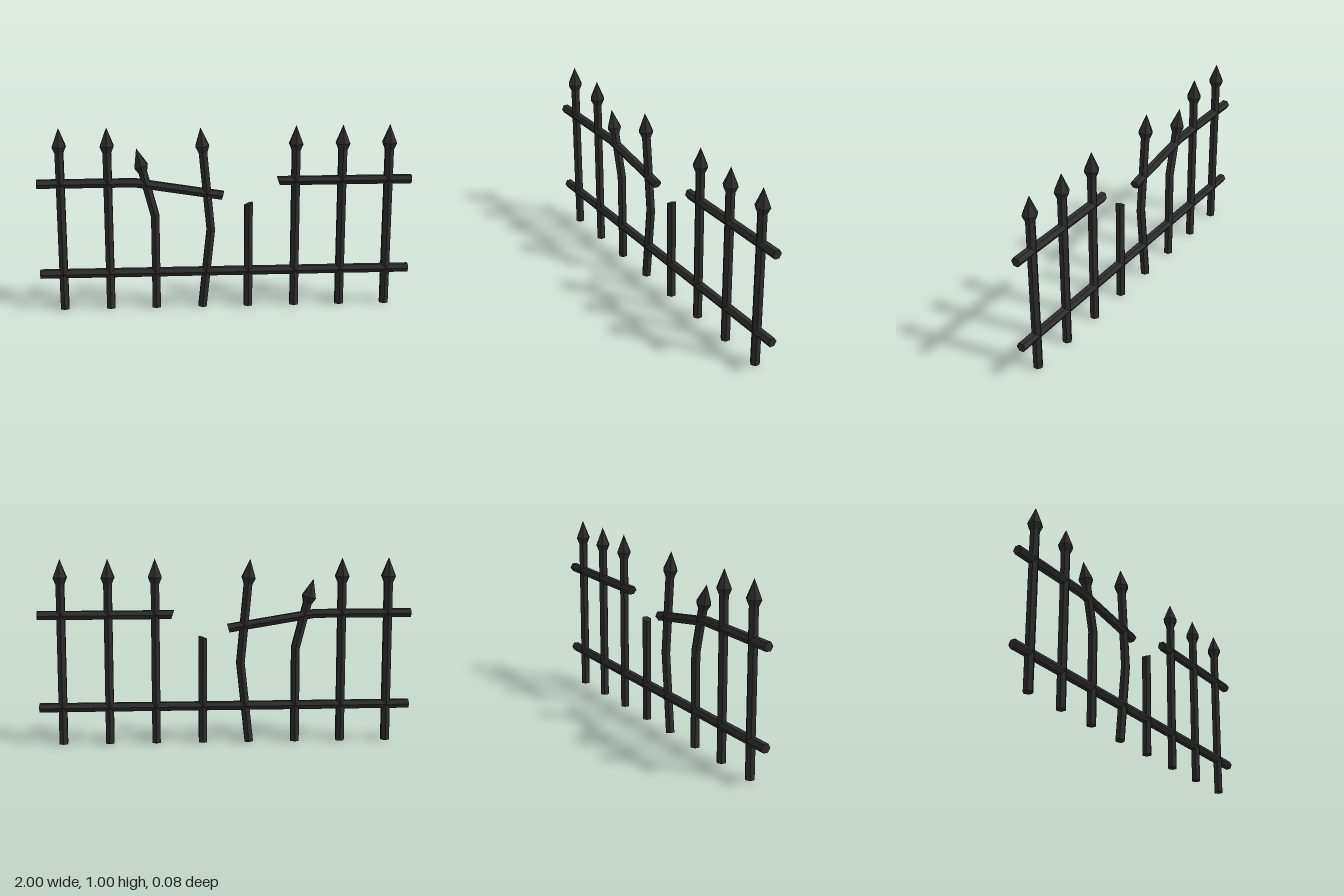
import * as THREE from 'three';

const R = 0.026; // bar radius, hexagonal with corners at front and back
const SIDES = 6;

// Hexagonal bar swept along a path in the xy plane, mitred at bends.
// startCut / endCut slant the end faces along the bar.
function barGeometry(path, startCut = 0, endCut = 0) {
  const pts = path.map(([x, y]) => new THREE.Vector2(x, y));
  const dirs = pts.slice(1).map((p, i) => p.clone().sub(pts[i]).normalize());
  const perp = d => new THREE.Vector2(d.y, -d.x);
  const last = pts.length - 1;
  const pos = [], index = [];
  pts.forEach((p, i) => {
    const a = dirs[Math.max(i - 1, 0)], b = dirs[Math.min(i, last - 1)];
    const side = perp(a).add(perp(b)).divideScalar(1 + a.dot(b));
    if (i === 0) side.addScaledVector(b, startCut);
    if (i === last) side.addScaledVector(a, endCut);
    for (let j = 0; j < SIDES; j++) {
      const t = j / SIDES * Math.PI * 2, s = R * Math.sin(t);
      pos.push(p.x + side.x * s, p.y + side.y * s, R * Math.cos(t));
    }
  });
  for (let i = 0; i < last; i++) {
    for (let j = 0; j < SIDES; j++) {
      const k = (j + 1) % SIDES, lo = i * SIDES, hi = lo + SIDES;
      index.push(lo + j, lo + k, hi + j, lo + k, hi + k, hi + j);
    }
  }
  const top = last * SIDES;
  for (let j = 1; j < SIDES - 1; j++) index.push(0, j + 1, j, top, top + j, top + j + 1);
  const g = new THREE.BufferGeometry();
  g.setAttribute('position', new THREE.Float32BufferAttribute(pos, 3));
  g.setIndex(index);
  const flat = g.toNonIndexed();
  flat.computeVertexNormals();
  return flat;
}

export function createModel() {
  const model = new THREE.Group();
  model.name = 'brokenFence';
  const iron = new THREE.MeshStandardMaterial({ color: 0x2d2d2d, flatShading: true });
  iron.name = 'darkIron';

  const add = (geometry, name, parent = model) => {
    const mesh = new THREE.Mesh(geometry, iron);
    mesh.name = name;
    parent.add(mesh);
    return mesh;
  };

  // Spearhead, origin at its widest ring
  const spear = new THREE.LatheGeometry(
    [[R, -0.035], [0.042, 0], [0, 0.1]].map(([x, y]) => new THREE.Vector2(x, y)), SIDES);

  // Post with a spearhead lined up with its last segment
  const addPost = (path, name) => {
    const post = new THREE.Group();
    post.name = name;
    add(barGeometry(path), 'shaft', post);
    const [a, b] = path.slice(-2);
    const head = add(spear, 'spearhead', post);
    head.position.set(b[0], b[1], 0);
    head.rotation.z = -Math.atan2(b[0] - a[0], b[1] - a[1]);
    model.add(post);
  };

  // Straight posts
  for (const x of [-0.875, -0.625, 0.375, 0.625, 0.875]) addPost([[x, 0], [x, 0.9]], 'straightPost');

  // Bent posts
  addPost([[-0.377, 0], [-0.377, 0.515], [-0.447, 0.79]], 'leaningPost');
  addPost([[-0.127, 0], [-0.08, 0.435], [-0.123, 0.895]], 'buckledPost');

  // Snapped post
  add(barGeometry([[0.123, 0], [0.123, 0.575]], 0, 0.35), 'snappedPost');

  // Rails, the upper one broken in the middle
  add(barGeometry([[-1, 0.2], [1, 0.2]]), 'lowerRail');
  add(barGeometry([[-1, 0.7], [-0.48, 0.7], [-0.015, 0.624]], 0, -0.1), 'bentUpperRail');
  add(barGeometry([[0.283, 0.7], [1, 0.7]], 0.33, 0), 'straightUpperRail');

  return model;
}
